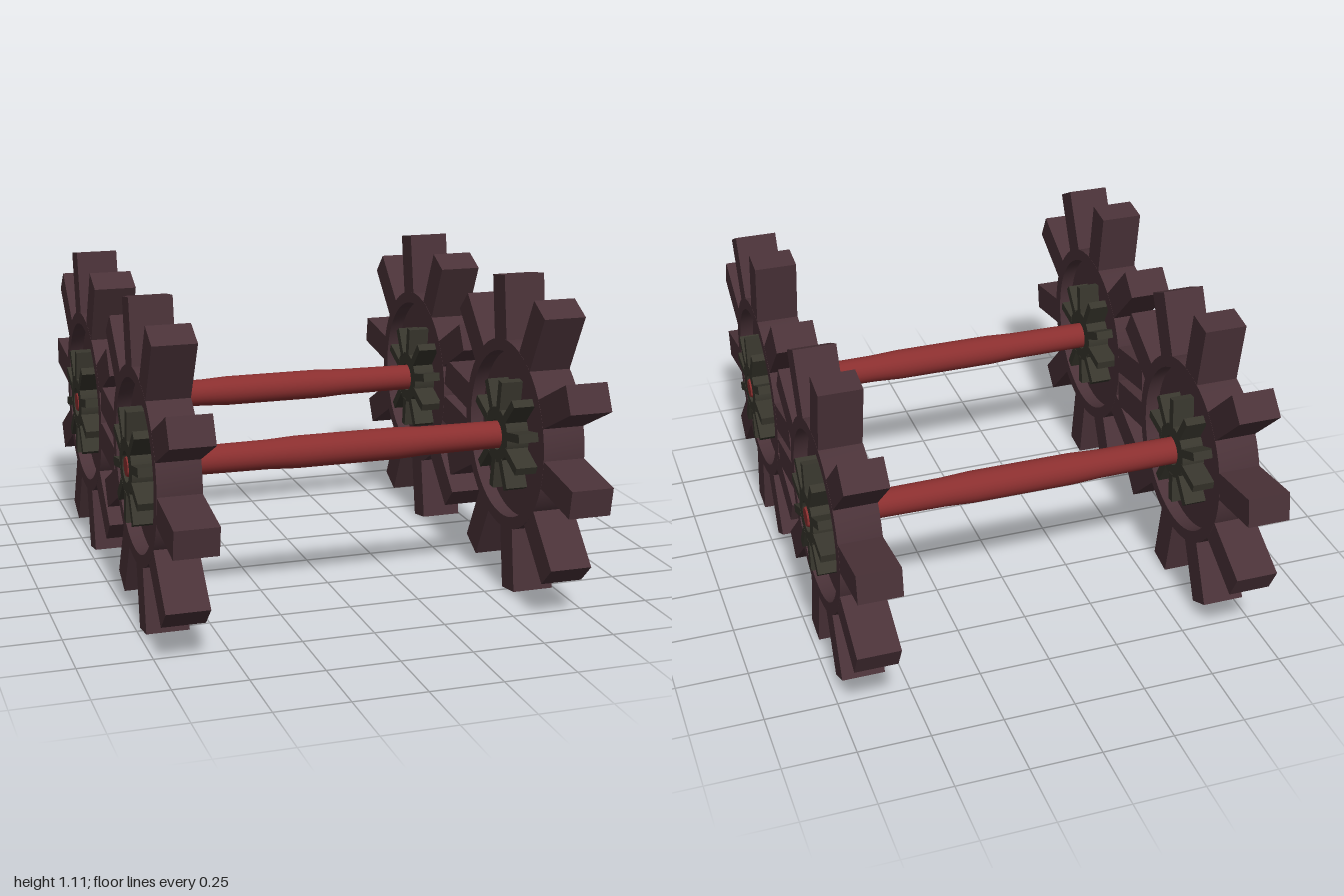
import * as THREE from 'three';
import { toCreasedNormals } from 'three/addons/utils/BufferGeometryUtils.js';

const wheelMat = new THREE.MeshStandardMaterial({ color: 0x4a3238 });
const hubMat = new THREE.MeshStandardMaterial({ color: 0x38362d });
const axleMat = new THREE.MeshStandardMaterial({ color: 0x8a2f2f });

// Solid of revolution about the x axis; profile is [radius, x]
function turned(profile, segments) {
  const points = profile.map(([r, x]) => new THREE.Vector2(r, x));
  const geo = new THREE.LatheGeometry(points, segments).rotateZ(-Math.PI / 2);
  return toCreasedNormals(geo, 0.5);
}

function addMesh(parent, name, geometry, material) {
  const mesh = new THREE.Mesh(geometry, material);
  mesh.name = name;
  parent.add(mesh);
  return mesh;
}

// Ring of equal bars pointing outwards from the x axis
function addSpokes(parent, name, material, { inner, outer, thick, width, start }) {
  const geo = new THREE.BoxGeometry(thick, width, outer - inner);
  geo.translate(0, 0, -(inner + outer) / 2);
  for (let i = 0; i < 10; i++) {
    addMesh(parent, name, geo, material).rotation.x = start + (i * Math.PI) / 5;
  }
}

// Rim with a thin recessed web and a centre hole
const rimGeo = turned([
  [0.335, -0.074], [0.335, 0.074], [0.293, 0.074], [0.293, 0.025], [0.106, 0.025],
  [0.106, -0.025], [0.293, -0.025], [0.293, -0.074], [0.335, -0.074],
], 48);

// Hub sleeve around the axle
const hubGeo = turned([
  [0.098, -0.102], [0.098, 0.102], [0.053, 0.102], [0.053, -0.102], [0.098, -0.102],
], 32);

// Axle, thicker in the middle and tapered at the tips
const axleGeo = turned([
  [0, -0.762], [0.032, -0.762], [0.048, -0.72], [0.048, -0.55], [0.05, -0.28], [0.055, -0.18],
  [0.055, 0.18], [0.05, 0.28], [0.048, 0.55], [0.048, 0.72], [0.032, 0.758], [0, 0.758],
], 24);

function createWheel(name, turn) {
  const wheel = new THREE.Group();
  wheel.name = name;
  addMesh(wheel, 'rim', rimGeo, wheelMat);
  addSpokes(wheel, 'tooth', wheelMat,
    { inner: 0.31, outer: 0.555, thick: 0.147, width: 0.1, start: 0 });
  addMesh(wheel, 'hub', hubGeo, hubMat);
  addSpokes(wheel, 'hubFin', hubMat,
    { inner: 0.09, outer: 0.198, thick: 0.206, width: 0.03, start: THREE.MathUtils.degToRad(16) });
  wheel.rotation.x = turn;
  return wheel;
}

export function createModel() {
  const model = new THREE.Group();
  model.name = 'wheelSet';

  // Front and rear pairs are turned slightly differently so the teeth interleave
  for (const [end, z, y, degrees] of [['front', 0.446, 0.559, 10], ['rear', -0.444, 0.557, 8]]) {
    const pair = new THREE.Group();
    pair.name = end + 'WheelPair';
    pair.position.set(0, y, z);
    addMesh(pair, end + 'Axle', axleGeo, axleMat);
    for (const [side, x] of [['Left', 0.653], ['Right', -0.66]]) {
      const wheel = createWheel(end + side + 'Wheel', THREE.MathUtils.degToRad(degrees));
      wheel.position.x = x;
      pair.add(wheel);
    }
    model.add(pair);
  }
  return model;
}
